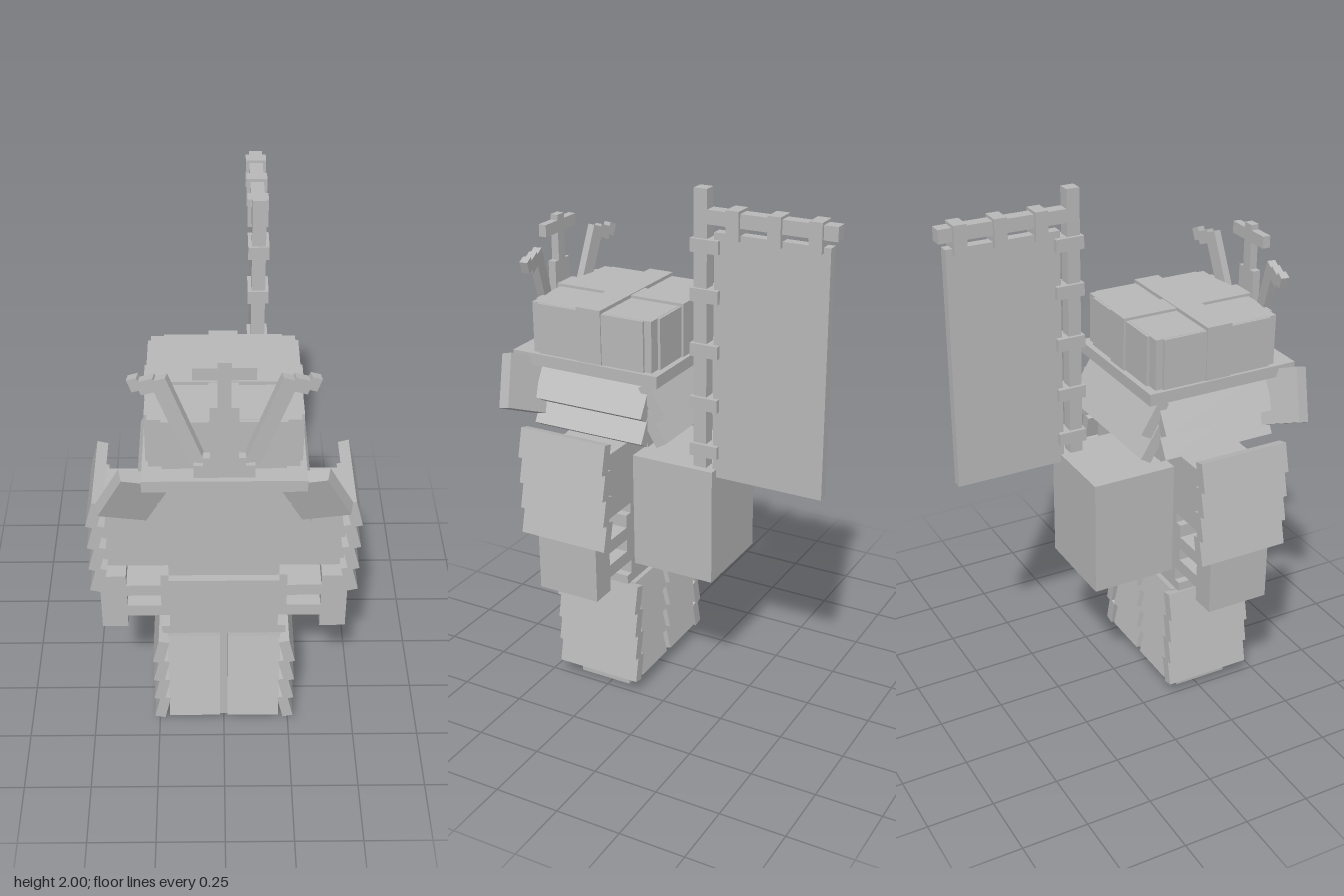
import * as THREE from 'three';

const stone = new THREE.MeshStandardMaterial({ color: 0xb8b8b8 });
stone.name = 'plainGrey';

export function createModel() {
  const root = new THREE.Group();
  root.name = 'armouredWarrior';

  // box given by its extents [min, max] on each axis
  function box(name, x, y, z, parent = root) {
    const m = new THREE.Mesh(new THREE.BoxGeometry(x[1] - x[0], y[1] - y[0], z[1] - z[0]), stone);
    m.position.set((x[0] + x[1]) / 2, (y[0] + y[1]) / 2, (z[0] + z[1]) / 2);
    m.name = name;
    parent.add(m);
    return m;
  }
  // box given by size, centre and rotation
  function tilted(name, size, pos, rot = [0, 0, 0], parent = root) {
    const m = new THREE.Mesh(new THREE.BoxGeometry(...size), stone);
    m.position.set(...pos);
    m.rotation.set(...rot);
    m.name = name;
    parent.add(m);
    return m;
  }
  const span = (s, a, b) => (s > 0 ? [a, b] : [-b, -a]);
  const sides = [1, -1];
  const midZ = 0.2825;

  // hollow legs, open underneath
  const outline = (x0, x1, z0, z1, P) => {
    const p = new P();
    p.moveTo(x0, z0); p.lineTo(x1, z0); p.lineTo(x1, z1); p.lineTo(x0, z1); p.closePath();
    return p;
  };
  const legShape = outline(-0.21, 0.21, -0.39, -0.175, THREE.Shape);
  legShape.holes.push(outline(-0.198, -0.006, -0.378, -0.187, THREE.Path));
  legShape.holes.push(outline(0.006, 0.198, -0.378, -0.187, THREE.Path));
  const legs = new THREE.Mesh(new THREE.ExtrudeGeometry(legShape, { depth: 0.47, bevelEnabled: false }), stone);
  legs.rotation.x = -Math.PI / 2;
  legs.name = 'hollowLegs';
  root.add(legs);

  // overlapping skirt plates
  const skirt = new THREE.Group();
  skirt.name = 'skirtArmour';
  root.add(skirt);
  for (let i = 0; i < 4; i++) {
    const y = 0.41 - i * 0.1;
    for (const s of sides) {
      tilted('sideSkirtPlate', [0.04, 0.11, 0.345], [s * 0.235, y, midZ], [0, 0, s * 0.22], skirt);
      tilted('frontSkirtPlate', [0.195, 0.11, 0.04], [s * 0.112, y, midZ + 0.138], [-0.22, 0, 0], skirt);
      tilted('backSkirtPlate', [0.195, 0.11, 0.04], [s * 0.112, y, midZ - 0.138], [0.22, 0, 0], skirt);
    }
  }

  // torso and chest armour
  box('waist', [-0.23, 0.23], [0.46, 0.5], [0.16, 0.405]);
  box('torso', [-0.2, 0.2], [0.5, 1.05], [0.16, 0.405]);
  box('belt', [-0.2, 0.2], [0.655, 0.755], [0.39, 0.435]);
  box('chestPlate', [-0.2, 0.2], [0.88, 1.03], [0.39, 0.43]);
  box('throatGuard', [-0.1, 0.1], [0.83, 1.03], [0.4, 0.455]);

  // arms, hands and shoulder plates
  for (const s of sides) {
    const arm = new THREE.Group();
    arm.name = s > 0 ? 'leftArm' : 'rightArm';
    root.add(arm);
    box('upperArm', span(s, 0.2, 0.43), [0.8, 1.05], [0.155, 0.4], arm);
    box('forearm', span(s, 0.355, 0.45), [0.5, 0.75], [0.16, 0.405], arm);
    box('upperBar', span(s, 0.2, 0.355), [0.655, 0.705], [0.16, 0.405], arm);
    box('lowerBar', span(s, 0.2, 0.355), [0.555, 0.605], [0.16, 0.405], arm);
    box('hipTab', span(s, 0.2, 0.23), [0.605, 0.755], [0.16, 0.405], arm);
    for (let i = 0; i < 4; i++)
      tilted('shoulderPlate', [0.04, 0.11, 0.35], [s * 0.448, 1.08 - i * 0.1, 0.28], [0, 0, s * 0.25], arm);
  }

  // pack and banner
  box('backpack', [-0.175, 0.175], [0.53, 0.98], [-0.168, 0.16]);
  const banner = new THREE.Group();
  banner.name = 'banner';
  root.add(banner);
  box('pole', [0.1, 0.148], [0.97, 2], [-0.13, -0.08], banner);
  box('crossbar', [0.1, 0.148], [1.88, 1.93], [-0.605, -0.13], banner);
  box('cloth', [0.105, 0.143], [0.95, 1.855], [-0.58, -0.155], banner);
  for (const y of [1.05, 1.23, 1.43, 1.63, 1.805])
    box('poleLoop', [0.087, 0.16], [y - 0.024, y + 0.024], [-0.178, -0.07], banner);
  for (const z of [-0.23, -0.383, -0.53])
    box('crossbarLoop', [0.087, 0.16], [1.835, 1.94], [z - 0.024, z + 0.024], banner);

  // head and face mask
  box('head', [-0.2, 0.2], [1.04, 1.31], [0.08, 0.5]);
  box('faceMask', [-0.225, 0.225], [1.055, 1.31], [0.485, 0.535]);

  // helmet with stepped corners and raised ribs
  const helmet = new THREE.Group();
  helmet.name = 'helmet';
  root.add(helmet);
  box('brim', [-0.272, 0.272], [1.305, 1.35], [0, 0.602], helmet);
  box('crown', [-0.25, 0.25], [1.35, 1.54], [0.032, 0.523], helmet);
  box('crownLong', [-0.205, 0.205], [1.35, 1.539], [0.022, 0.535], helmet);
  box('crownWide', [-0.26, 0.26], [1.35, 1.539], [0.06, 0.495], helmet);
  box('longRib', [-0.05, 0.05], [1.35, 1.55], [0.014, 0.545], helmet);
  box('crossRib', [-0.265, 0.265], [1.35, 1.553], [0.23, 0.33], helmet);

  // neck guard rows
  for (const y of [1.237, 1.14]) {
    tilted('backNeckPlate', [0.5, 0.14, 0.045], [0, y, 0.033], [0.54, 0, 0], helmet);
    for (const s of sides)
      tilted('sideNeckPlate', [0.045, 0.14, 0.45], [s * 0.242, y, 0.277], [0, 0, s * 0.54], helmet);
  }

  // turned-out flaps beside the mask
  for (const s of sides)
    tilted('helmetFlap', [0.18, 0.2, 0.05], [s * 0.305, 1.24, 0.537], [0.3, -s * 0.2, s * 0.46], helmet);

  // crest: central blade and two curved horns
  const crest = new THREE.Group();
  crest.name = 'crest';
  helmet.add(crest);
  const cz = [0.553, 0.583];
  box('crestBase', [-0.1, 0.1], [1.35, 1.4], cz, crest);
  box('crestStep', [-0.07, 0.07], [1.4, 1.43], cz, crest);
  box('crestBlade', [-0.047, 0.047], [1.43, 1.63], cz, crest);
  box('crestStem', [-0.022, 0.022], [1.63, 1.8], cz, crest);
  box('crestBar', [-0.1, 0.1], [1.735, 1.78], cz, crest);
  for (const s of sides) {
    const horn = new THREE.Group();
    horn.name = s > 0 ? 'leftHorn' : 'rightHorn';
    horn.position.set(s * 0.07, 1.4, 0.555);
    horn.rotation.set(0, s * 0.17, -s * 0.37);
    crest.add(horn);
    box('hornStem', span(s, -0.01, 0.045), [0, 0.34], [-0.015, 0.015], horn);
    box('hornBranch', span(s, 0.03, 0.09), [0.3, 0.35], [-0.015, 0.015], horn);
    box('hornTip', span(s, 0.08, 0.115), [0.318, 0.365], [-0.015, 0.015], horn);
  }
  return root;
}
